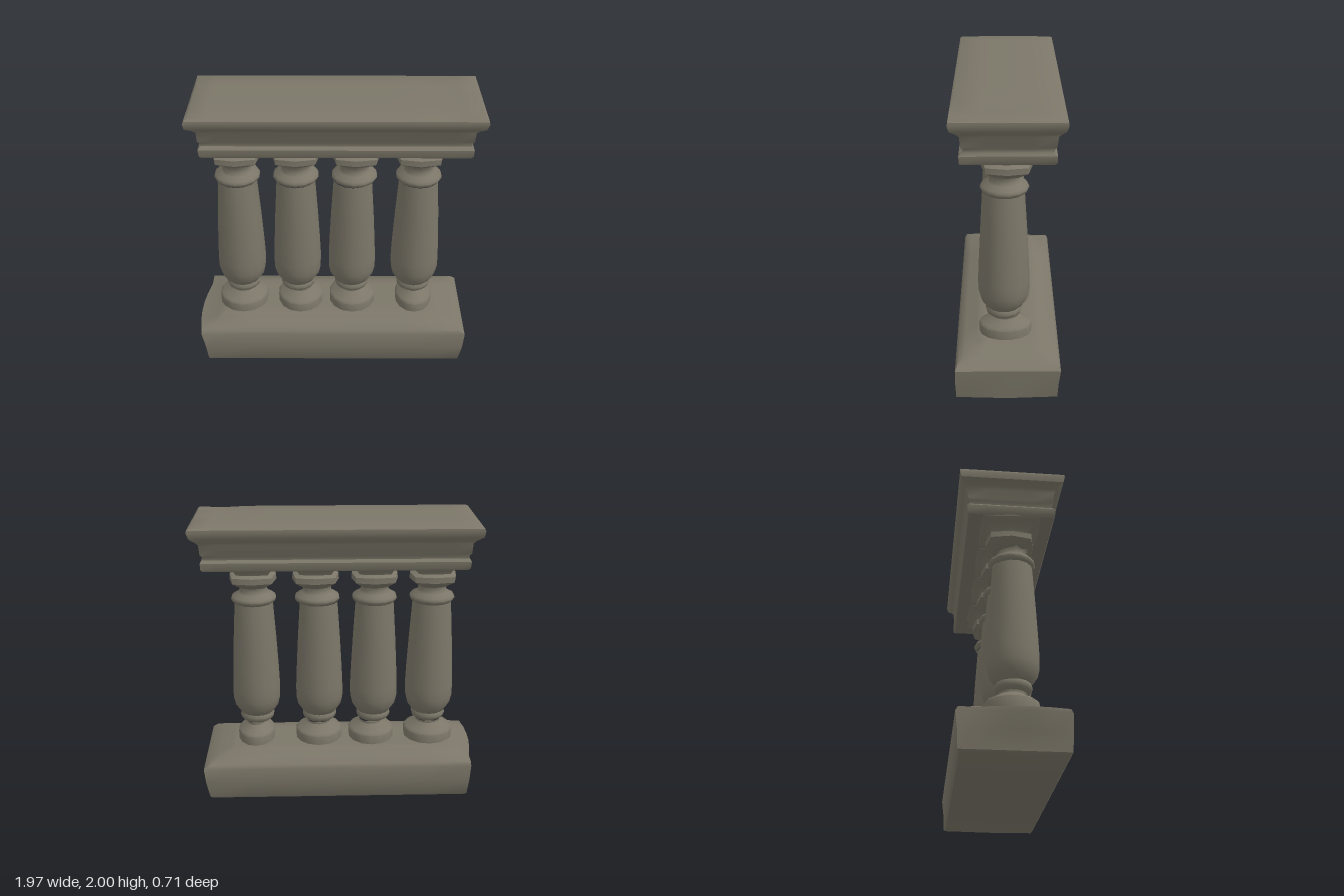
import * as THREE from 'three';
import { toCreasedNormals } from 'three/addons/utils/BufferGeometryUtils.js';

const stone = new THREE.MeshStandardMaterial({ color: 0x7b7668 });
stone.name = 'weathered stone';

function addMesh(parent, name, geometry, crease = 0.7) {
  const mesh = new THREE.Mesh(toCreasedNormals(geometry, crease), stone);
  mesh.name = name;
  parent.add(mesh);
  return mesh;
}

// Rectangular moulding: each section is [y, left x, right x, back z, front z].
function moulding(sections, nx, nz, wear) {
  const rows = sections.length - 1;
  const geo = new THREE.BoxGeometry(2, rows, 2, nx, rows, nz);
  const pos = geo.attributes.position;
  const v = new THREE.Vector3();
  for (let i = 0; i < pos.count; i++) {
    const row = Math.round(pos.getY(i) + rows / 2);
    const [y, x0, x1, z0, z1] = sections[row];
    v.set(
      THREE.MathUtils.mapLinear(pos.getX(i), -1, 1, x0, x1), y,
      THREE.MathUtils.mapLinear(pos.getZ(i), -1, 1, z0, z1));
    if (wear) wear(v, pos.getX(i), pos.getZ(i), row);
    pos.setXYZ(i, v.x, v.y, v.z);
  }
  return geo;
}

// Turned profile of a baluster: [radius, y]
const footProfile = [[0, 0.31], [0.178, 0.31], [0.18, 0.4], [0.165, 0.415], [0.12, 0.435], [0.092, 0.46], [0.092, 0.475]];
const shaftProfile = [
  [0.092, 0.475], [0.118, 0.495], [0.125, 0.52], [0.115, 0.54], [0.125, 0.55], [0.158, 0.6],
  [0.172, 0.66], [0.173, 0.74], [0.167, 0.88], [0.155, 1.1], [0.136, 1.385],
];
const neckProfile = [[0.136, 1.385], [0.15, 1.395], [0.16, 1.415], [0.152, 1.435], [0.112, 1.455], [0.098, 1.475], [0.1, 1.51], [0.115, 1.53]];
const lathe = (profile) => new THREE.LatheGeometry(profile.map(([r, y]) => new THREE.Vector2(r, y)), 14);

// Square capital: [y, half width]
const capitalSteps = [[1.505, 0.095], [1.53, 0.13], [1.555, 0.163], [1.595, 0.16], [1.61, 0.125], [1.635, 0.135], [1.665, 0.17], [1.685, 0.2], [1.71, 0.205]];

function baluster(footX, shaftX, topX, footScale) {
  const group = new THREE.Group();
  group.name = 'baluster';
  const foot = addMesh(group, 'foot', lathe(footProfile), 0.8);
  foot.position.set(footX, 0, 0.015);
  foot.scale.set(footScale, 1, 1);
  addMesh(group, 'shaft', lathe(shaftProfile), 0.9).position.set(shaftX, 0, 0.025);
  addMesh(group, 'neckRing', lathe(neckProfile), 0.9).position.set((shaftX + topX) / 2, 0, 0.02);
  // Corners of the capital are pulled in towards the neck
  const sections = capitalSteps.map(([y, h]) => [y, -h, h, -h, h]);
  const capital = moulding(sections, 2, 2, (v, u, w, row) => {
    if (Math.abs(u * w) > 0.9) {
      const k = THREE.MathUtils.lerp(0.78, 0.96, row / (sections.length - 1));
      v.x *= k;
      v.z *= k;
    }
  });
  addMesh(group, 'capital', capital, 0.75).position.set(topX, 0, 0.005);
  return group;
}

export function createModel() {
  const model = new THREE.Group();
  model.name = 'stoneBalustrade';

  // Plinth with a chipped, bulging end
  addMesh(model, 'plinth', moulding([
    [0, -0.91, 0.925, -0.32, 0.335],
    [0.015, -0.93, 0.945, -0.333, 0.347],
    [0.13, -0.945, 0.955, -0.337, 0.35],
    [0.245, -0.95, 0.965, -0.35, 0.35],
    [0.272, -0.95, 0.93, -0.335, 0.335],
    [0.3, -0.88, 0.86, -0.275, 0.29],
    [0.325, -0.83, 0.78, -0.225, 0.215],
    [0.335, -0.8, 0.75, -0.21, 0.2],
  ], 6, 6, (v, u, w, row) => {
    if (u < -0.99 && (row === 3 || row === 4)) v.x -= 0.04 * Math.max(0, 1 - ((w - 0.3) / 0.95) ** 2);
    if (u > 0.99 && row < 2) v.x -= 0.015 * Math.abs(w);
  }));

  // Four balusters, slightly out of line
  for (const [footX, shaftX, topX, footScale] of [
    [-0.67, -0.668, -0.665, 1],
    [-0.245, -0.262, -0.258, 0.93],
    [0.14, 0.135, 0.155, 0.95],
    [0.6, 0.592, 0.59, 0.75],
  ]) model.add(baluster(footX, shaftX, topX, footScale));

  // Stepped cornice with a worn hollow towards one end of the top
  addMesh(model, 'cornice', moulding([
    [1.69, -0.86, 0.9, -0.285, 0.285],
    [1.705, -0.875, 0.912, -0.295, 0.293],
    [1.75, -0.88, 0.915, -0.297, 0.295],
    [1.768, -0.862, 0.9, -0.277, 0.27],
    [1.79, -0.868, 0.9, -0.28, 0.27],
    [1.805, -0.88, 0.912, -0.292, 0.282],
    [1.875, -0.883, 0.918, -0.3, 0.288],
    [1.895, -0.9, 0.935, -0.315, 0.305],
    [1.925, -0.945, 0.972, -0.342, 0.343],
    [1.965, -0.952, 0.985, -0.353, 0.354],
    [1.985, -0.945, 0.983, -0.351, 0.351],
    [1.995, -0.925, 0.965, -0.335, 0.335],
  ], 16, 4, (v, u, w, row) => {
    if (row < 11) return;
    v.y += 0.005 * (1 - w * w);
    v.y -= 0.014 * Math.exp(-(((v.x - 0.74 - 0.1 * w) / 0.1) ** 2)) * (0.6 + 0.4 * w);
  }));

  return model;
}
